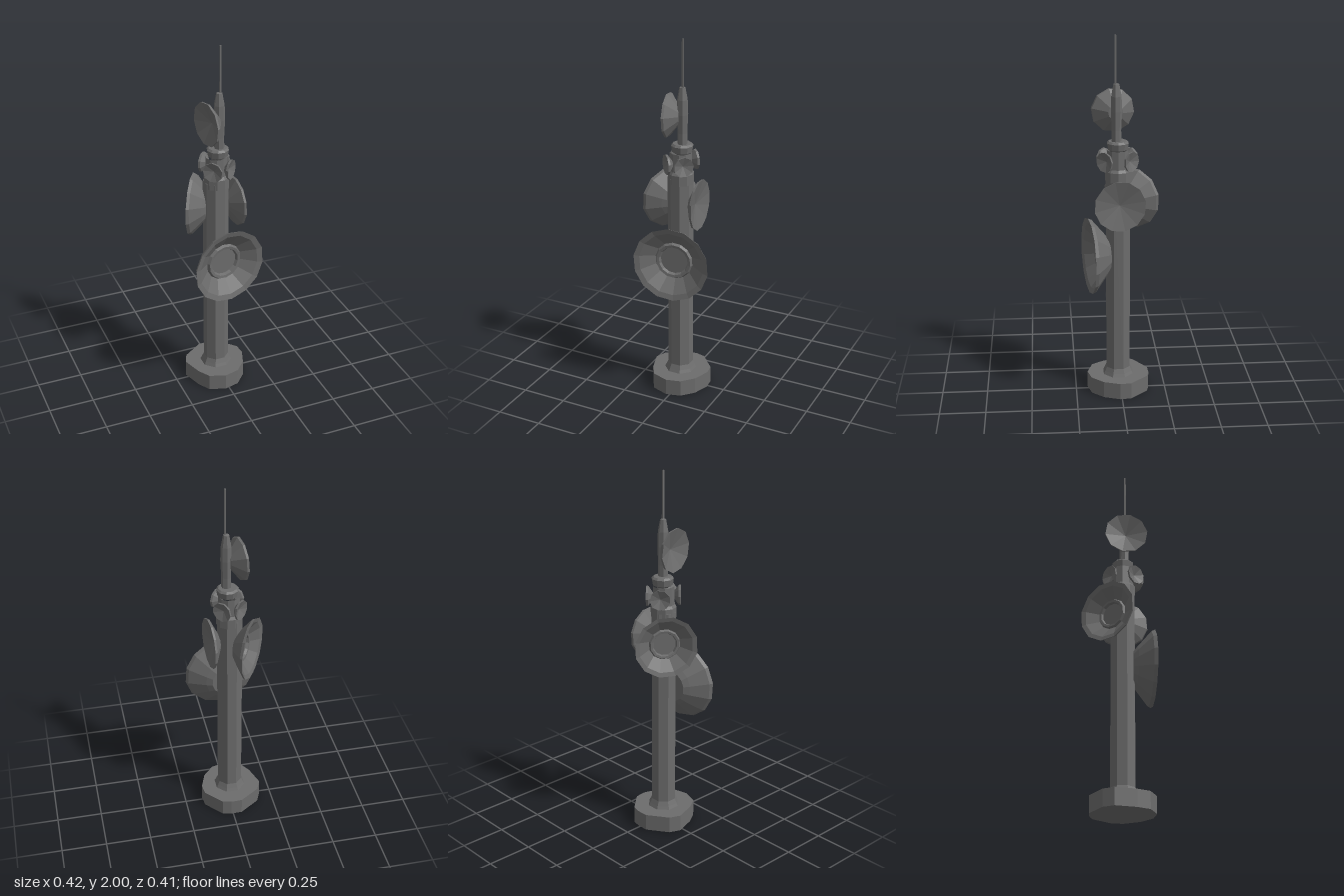
import * as THREE from 'three';

const material = new THREE.MeshStandardMaterial({ color: 0x6c6c6c, flatShading: true });
const v2 = (pts) => pts.map(([x, y]) => new THREE.Vector2(x, y));

// Revolved part from [radius, height] pairs, standing at (x, z)
function lathe(name, profile, sides, x = 0, z = 0) {
  const mesh = new THREE.Mesh(new THREE.LatheGeometry(v2(profile), sides, Math.PI / sides), material);
  mesh.name = name;
  mesh.position.set(x, 0, z);
  return mesh;
}

// Dish whose rim centre sits at (x, y, z), opening along the level direction (nx, nz)
function dish(name, profile, sides, [x, y, z], [nx, nz]) {
  const mesh = lathe(name, profile, sides);
  const normal = new THREE.Vector3(nx, 0, nz).normalize();
  mesh.quaternion.setFromUnitVectors(new THREE.Vector3(0, 1, 0), normal);
  mesh.position.set(x, y, z);
  return mesh;
}

// Deep dish: closed profile from the back, round the lip, to the recessed hub
function hubProfile(r) {
  return [
    [0, -0.52], [0.42, -0.52], [0.56, -0.42], [0.96, -0.09], [1, 0], [0.86, -0.04],
    [0.5, -0.31], [0.46, -0.24], [0.39, -0.25], [0.36, -0.33], [0, -0.33],
  ].map(([a, b]) => [a * r, b * r]);
}

// Shallow conical dish with a plain pointed bowl
function coneProfile(r, depth, backRadius) {
  return [[0, -depth], [backRadius, -depth], [r * 0.98, -0.012], [r, 0], [0, -depth * 0.55]];
}

export function createModel() {
  const model = new THREE.Group();

  // Rough faceted plinth
  const outline = [
    [0.01, -0.157], [0.06, -0.145], [0.145, -0.05], [0.152, 0.01], [0.12, 0.1], [0.06, 0.165],
    [-0.02, 0.185], [-0.11, 0.155], [-0.15, 0.09], [-0.185, -0.02], [-0.16, -0.08], [-0.05, -0.155],
  ];
  const shape = new THREE.Shape(v2(outline.map(([x, z]) => [x, -z])));
  const base = new THREE.Mesh(
    new THREE.ExtrudeGeometry(shape, { depth: 0.093, bevelEnabled: false }), material);
  base.name = 'base';
  base.rotation.x = -Math.PI / 2;
  model.add(base);

  // Column with a flared foot
  model.add(lathe('column',
    [[0.09, 0.09], [0.08, 0.11], [0.069, 0.135], [0.069, 1.25], [0, 1.25]], 8, -0.013, 0.013));

  // Neck and collar ring
  model.add(lathe('neck', [[0.07, 1.22], [0.07, 1.275], [0.06, 1.29], [0.058, 1.39]], 10, -0.01, 0.014));
  model.add(lathe('collar',
    [[0.04, 1.385], [0.054, 1.395], [0.06, 1.43], [0.05, 1.44], [0, 1.44]], 10, -0.002, 0.014));

  // Upper mast and aerial
  model.add(lathe('mast',
    [[0.027, 1.43], [0.026, 1.5], [0.031, 1.6], [0.028, 1.68], [0.016, 1.745], [0, 1.75]], 7, 0.003, 0.022));
  model.add(lathe('aerial', [[0.007, 1.74], [0.006, 2], [0, 2]], 4, 0.008, 0.026));

  // Main dishes
  model.add(dish('frontDish', hubProfile(0.21), 14, [0.005, 0.8, 0.173], [0.156, 0.988]));
  model.add(dish('rearDish', hubProfile(0.171), 12, [-0.12, 1.09, -0.068], [-0.85, -0.53]));
  model.add(dish('sideDish', coneProfile(0.139, 0.055, 0.045), 12, [0.102, 1.105, 0.007], [0.997, -0.073]));
  model.add(dish('upperDish', coneProfile(0.119, 0.068, 0.04), 10, [-0.077, 1.59, 0.037], [-0.984, 0.178]));

  // Four small dishes round the neck
  for (const sx of [-1, 1]) {
    for (const sz of [-1, 1]) {
      model.add(dish('smallDish', coneProfile(0.055, 0.035, 0.02), 9,
        [-0.008 + sx * 0.054, 1.335, 0.015 + sz * 0.075], [sx, sz]));
    }
  }

  return model;
}
